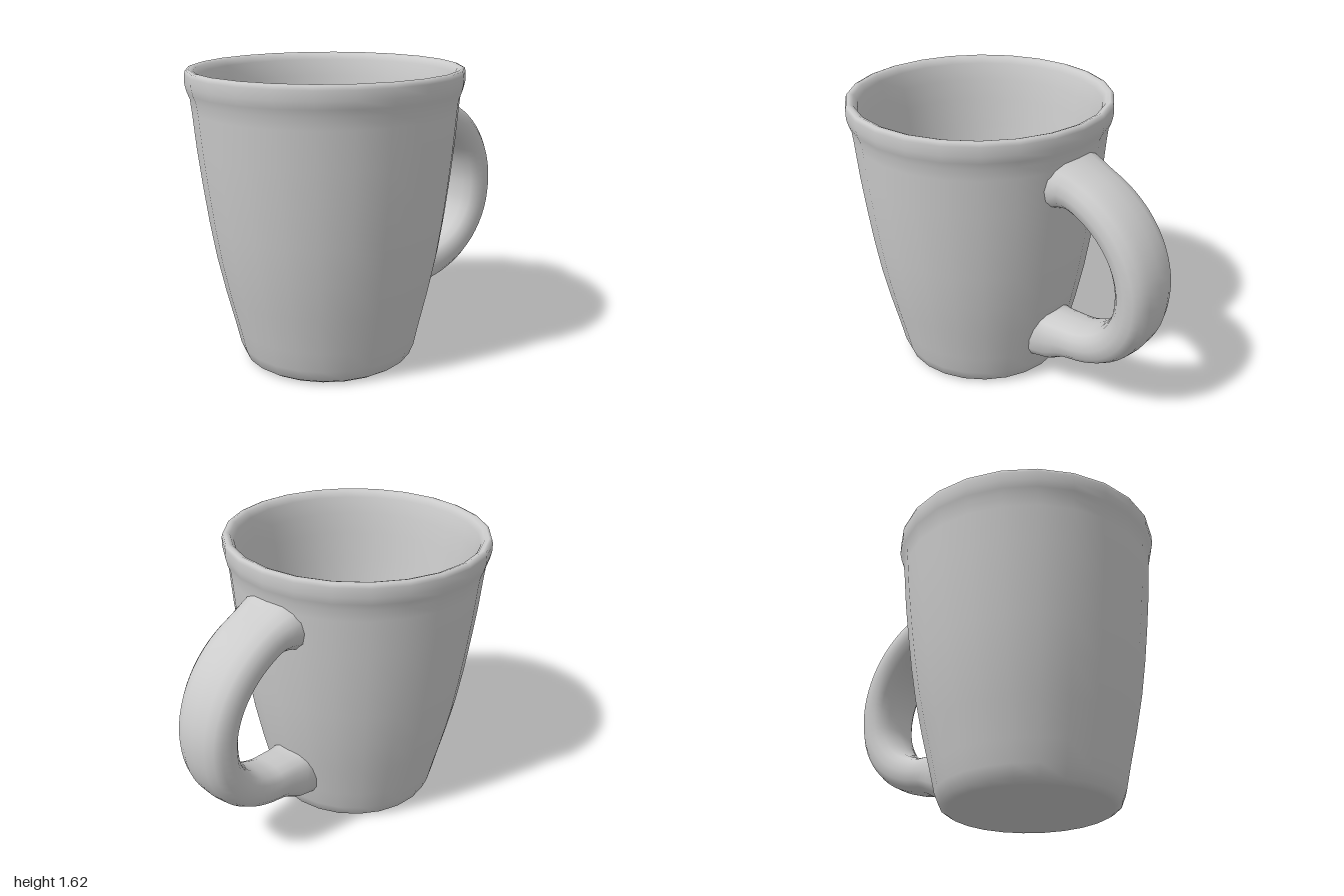
import * as THREE from 'three';

const material = new THREE.MeshStandardMaterial({ color: 0xcccccc });
const CUP_X = -0.263;

// Outer wall as [radius, height], from the foot to the rolled rim
const outerWall = [
  [0.475, 0.022], [0.5, 0.085], [0.525, 0.2], [0.572, 0.4], [0.613, 0.6],
  [0.644, 0.8], [0.669, 1.0], [0.691, 1.2], [0.707, 1.4], [0.714, 1.465],
  [0.728, 1.5], [0.737, 1.54], [0.737, 1.59],
];

// Closed wall profile: underside, outer wall, rim, sloping lip, tapering inner wall, floor
function createCup() {
  const profile = [
    [0, 0], [0.43, 0], [0.445, 0.002], ...outerWall,
    [0.731, 1.61], [0.715, 1.616], [0.692, 1.607], [0.673, 1.575], [0.652, 1.48],
    [0.632, 1.36], [0.613, 1.2], [0.585, 1.0], [0.542, 0.7], [0.496, 0.4],
    [0.465, 0.22], [0.44, 0.145], [0.405, 0.115], [0.36, 0.108], [0, 0.108],
  ].map(([r, y]) => new THREE.Vector2(r, y));
  const cup = new THREE.Mesh(new THREE.LatheGeometry(profile, 24), material);
  cup.name = 'cup';
  cup.position.x = CUP_X;
  return cup;
}

// x of a surface lying just under the outer wall, on the handle's side
function wallX(y, z) {
  const k = outerWall.findIndex((point) => point[1] >= y);
  const [r0, y0] = outerWall[k - 1], [r1, y1] = outerWall[k];
  const r = THREE.MathUtils.mapLinear(y, y0, y1, r0, r1) - 0.012;
  return CUP_X + Math.sqrt(r * r - z * z);
}

// Rounded strap swept along a curve, tapering downwards, its flared roots moulded to the wall
function createHandle() {
  const path = new THREE.CatmullRomCurve3([
    [0.415, 1.3], [0.47, 1.296], [0.61, 1.243], [0.74, 1.15], [0.83, 1.035],
    [0.88, 0.91], [0.893, 0.8], [0.872, 0.65], [0.8, 0.52], [0.7, 0.43],
    [0.56, 0.367], [0.43, 0.343], [0.35, 0.322], [0.28, 0.305],
  ].map(([x, y]) => new THREE.Vector3(x, y, 0)));
  const steps = 36, sides = 16;
  const power = (v) => Math.sign(v) * Math.abs(v) ** 0.8;
  const positions = [], indices = [];

  for (let i = 0; i <= steps; i++) {
    const t = i / steps;
    const p = path.getPointAt(t), tan = path.getTangentAt(t);
    const topFlare = Math.max(0, 1 - t / 0.08) ** 2;
    const endFlare = Math.max(0, 1 - (1 - t) / 0.16) ** 2;
    const thick = 0.108 + 0.03 * topFlare + 0.06 * endFlare;
    const width = THREE.MathUtils.lerp(0.187, 0.133, t ** 1.4) + 0.03 * (topFlare + endFlare);
    for (let j = 0; j < sides; j++) {
      const a = (j / sides) * Math.PI * 2;
      const n = power(Math.cos(a)) * thick;
      const x = p.x - tan.y * n, y = p.y + tan.x * n, z = power(Math.sin(a)) * width;
      const wall = wallX(y, z);
      const isRoot = i === 0 || i === steps;
      positions.push(isRoot ? wall : Math.max(x, wall), y, z);
      if (i < steps) {
        const a0 = i * sides + j, a1 = i * sides + (j + 1) % sides;
        indices.push(a0, a1, a0 + sides, a1, a1 + sides, a0 + sides);
      }
    }
  }
  const geometry = new THREE.BufferGeometry();
  geometry.setAttribute('position', new THREE.Float32BufferAttribute(positions, 3));
  geometry.setIndex(indices);
  geometry.computeVertexNormals();
  const handle = new THREE.Mesh(geometry, material);
  handle.name = 'handle';
  return handle;
}

export function createModel() {
  const mug = new THREE.Group();
  mug.name = 'mug';
  mug.add(createCup(), createHandle());
  return mug;
}
